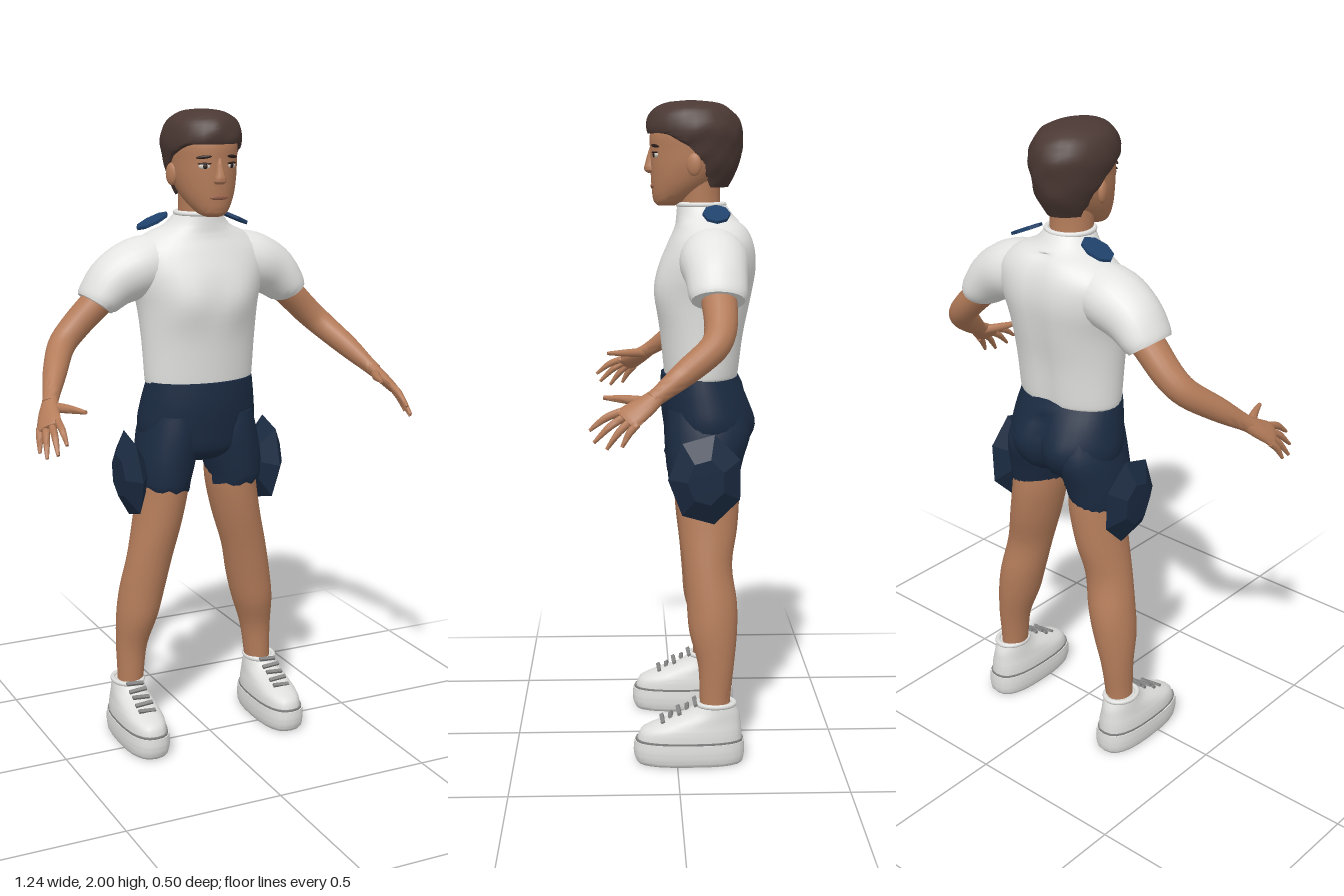
import * as THREE from 'three';
import { toCreasedNormals } from 'three/addons/utils/BufferGeometryUtils.js';

const mat = (name, color) => {
  const m = new THREE.MeshStandardMaterial({ color });
  m.name = name;
  return m;
};
const V = (x, y, z) => new THREE.Vector3(x, y, z);
const spow = (c, p) => Math.sign(c) * Math.pow(Math.abs(c), p);
const bell = (x, w) => Math.exp(-(x * x) / (w * w));

// Smooth interpolation of section rows
function sampleRows(rows, steps) {
  const out = [], n = rows.length;
  for (let i = 0; i <= (n - 1) * steps; i++) {
    const k = Math.min(Math.floor(i / steps), n - 2), t = i / steps - k;
    const [a, b, c, d] = [k - 1, k, k + 1, k + 2].map(j => rows[Math.max(0, Math.min(n - 1, j))]);
    out.push(b.map((_, q) => 0.5 * (2 * b[q] + (c[q] - a[q]) * t
      + (2 * a[q] - 5 * b[q] + 4 * c[q] - d[q]) * t * t
      + (3 * b[q] - a[q] - 3 * c[q] + d[q]) * t * t * t)));
  }
  return out;
}

// Loft of elliptical sections [x, y, z, radius along ref, other radius, exponent]
function loft(rows, { ref = V(1, 0, 0), along = false, seg = 24, steps = 4, warp } = {}) {
  const s = sampleRows(rows.map(r => [...r.slice(0, 5), r[5] ?? 1]), steps);
  const c = s.map(r => V(r[0], r[1], r[2])), pos = [], idx = [], L = s.length;
  s.forEach((r, k) => {
    const T = along ? c[Math.min(k + 1, L - 1)].clone().sub(c[Math.max(k - 1, 0)]).normalize() : V(0, 1, 0);
    const N = ref.clone().addScaledVector(T, -ref.dot(T)).normalize();
    const B = N.clone().cross(T);
    for (let i = 0; i < seg; i++) {
      const a = i / seg * Math.PI * 2;
      const v = c[k].clone().addScaledVector(N, r[3] * spow(Math.cos(a), r[5]))
        .addScaledVector(B, r[4] * spow(Math.sin(a), r[5]));
      if (warp) warp(v);
      pos.push(v.x, v.y, v.z);
    }
  });
  for (let k = 0; k < L - 1; k++) for (let i = 0; i < seg; i++) {
    const a = k * seg + i, b = k * seg + (i + 1) % seg;
    idx.push(a, a + seg, b, b, a + seg, b + seg);
  }
  [c[0], c[L - 1]].forEach((p, e) => {
    const v = p.clone();
    if (warp) warp(v);
    pos.push(v.x, v.y, v.z);
    const base = e ? (L - 1) * seg : 0;
    for (let i = 0; i < seg; i++) {
      const a = base + i, b = base + (i + 1) % seg;
      idx.push(L * seg + e, e ? b : a, e ? a : b);
    }
  });
  const g = new THREE.BufferGeometry();
  g.setAttribute('position', new THREE.Float32BufferAttribute(pos, 3));
  g.setIndex(idx);
  return toCreasedNormals(g, 1.0);
}

// Upright body from rows [y, half width, front z, back z, exponent]
const body = (rows, opt = {}, x = 0) =>
  loft(rows.map(([y, rx, f, b, p = 1]) => [x, y, (f + b) / 2, rx, (f - b) / 2, p]), opt);

export function createModel() {
  const skin = mat('skin', 0xb47c5a), shirt = mat('shirt white', 0xe4e4e2), navy = mat('navy cloth', 0x1b2b42);
  const blue = mat('shoulder blue', 0x1f416b), hair = mat('hair brown', 0x4a3833), shoe = mat('shoe white', 0xdededc);
  const grey = mat('lace grey', 0x858585), dark = mat('dark brown', 0x2a1d19);
  const white = mat('eye white', 0xd6cec6), lip = mat('lip', 0x96604a);
  const model = new THREE.Group();
  const add = (name, geo, material) => {
    const m = new THREE.Mesh(geo, material);
    m.name = name;
    model.add(m);
    return m;
  };
  const blob = (name, material, p, r, ry = 0) => {
    const m = add(name, new THREE.SphereGeometry(1, 16, 10), material);
    m.position.set(...p);
    m.scale.set(...r);
    m.rotation.y = ry;
    return m;
  };

  // Shirt body with chest and a groove down the spine
  add('shirt', body([
    [1.165, 0.174, 0.03, -0.195], [1.185, 0.178, 0.033, -0.2], [1.3, 0.185, 0.045, -0.215],
    [1.41, 0.197, 0.058, -0.238], [1.5, 0.222, 0.048, -0.252], [1.57, 0.22, 0.022, -0.245],
    [1.62, 0.165, 0, -0.222], [1.65, 0.105, -0.005, -0.185], [1.69, 0.07, -0.008, -0.155],
  ], {
    seg: 36,
    warp: v => {
      if (v.z < -0.12 && v.y < 1.64) v.z += 0.014 * bell(v.x, 0.035);
      if (v.z > 0) v.z += 0.014 * bell(Math.abs(v.x) - 0.085, 0.06) * bell(v.y - 1.43, 0.07);
    },
  }), shirt);
  add('collar', new THREE.TorusGeometry(0.07, 0.008, 8, 28).rotateX(Math.PI / 2), shirt).position.set(0, 1.688, -0.081);

  // Shorts seat
  add('shorts', body([
    [0.915, 0.09, -0.03, -0.15], [0.95, 0.165, 0.02, -0.215], [1.02, 0.194, 0.035, -0.242],
    [1.1, 0.187, 0.044, -0.228], [1.175, 0.174, 0.042, -0.193],
  ], {
    seg: 36,
    warp: v => {
      if (v.z < -0.12 && v.y < 1.14) v.z += 0.022 * bell(v.x, 0.025) - 0.014 * bell(Math.abs(v.x) - 0.085, 0.05) * bell(v.y - 1.02, 0.06);
    },
  }), navy);

  // Neck, head and nose
  add('neck', loft([[0, 1.62, -0.085, 0.066, 0.066], [0, 1.7, -0.075, 0.064, 0.064], [0, 1.79, -0.07, 0.066, 0.07]]), skin);
  add('head', body([
    [1.685, 0.026, 0.05, 0], [1.7, 0.05, 0.064, -0.04], [1.745, 0.079, 0.07, -0.11], [1.8, 0.096, 0.073, -0.165],
    [1.85, 0.101, 0.074, -0.185], [1.9, 0.102, 0.074, -0.185], [1.95, 0.085, 0.05, -0.15], [1.98, 0.03, 0, -0.1],
  ], { seg: 28 }), skin);
  add('nose', body([
    [1.783, 0.014, 0.08, 0.05], [1.793, 0.02, 0.092, 0.05], [1.82, 0.013, 0.087, 0.05], [1.86, 0.009, 0.075, 0.05],
  ], { seg: 12 }), skin);
  blob('mouth', lip, [0, 1.744, 0.067], [0.03, 0.008, 0.006]);

  // Hair: lower edge high over the face, low at the nape
  const hairline = z => z > 0.03 ? 1.9 : z > -0.06 ? 1.85 + (z + 0.06) / 0.09 * 0.05
    : Math.max(1.74, 1.85 + (z + 0.06) * 2.4);
  add('hair', body([
    [1.74, 0.07, 0.03, -0.16], [1.8, 0.094, 0.05, -0.194], [1.86, 0.112, 0.074, -0.206], [1.92, 0.118, 0.086, -0.205],
    [1.965, 0.1, 0.07, -0.178], [1.99, 0.062, 0.03, -0.135], [1.998, 0.015, -0.03, -0.07],
  ], {
    seg: 28,
    warp: v => {
      v.y = Math.max(v.y, hairline(v.z));
      const k = 1 + 0.025 * Math.sin(v.y * 70 + v.z * 45) * Math.sin(v.x * 60 + v.z * 30);
      v.x *= k;
      v.z = -0.06 + (v.z + 0.06) * k;
    },
  }), hair);

  for (const s of [1, -1]) {
    const side = s > 0 ? 'left' : 'right';
    const flip = rows => rows.map(([x, ...r]) => [x * s, ...r]);
    const limb = (name, material, rows, ref = V(0, 0, 1), seg = 18) =>
      add(side + name, loft(flip(rows), { along: true, ref: V(ref.x * s, ref.y, ref.z), seg }), material);

    // Face details
    blob(side + 'Eye', white, [0.043 * s, 1.836, 0.059], [0.019, 0.008, 0.005], 0.4 * s);
    blob(side + 'Iris', dark, [0.043 * s, 1.836, 0.0625], [0.0075, 0.0075, 0.004], 0.4 * s);
    blob(side + 'Eyelid', dark, [0.044 * s, 1.844, 0.061], [0.021, 0.003, 0.004], 0.4 * s);
    blob(side + 'Eyebrow', dark, [0.046 * s, 1.863, 0.06], [0.024, 0.005, 0.005], 0.45 * s).rotation.z = -0.1 * s;
    blob(side + 'Ear', skin, [0.1 * s, 1.808, -0.055], [0.012, 0.034, 0.023], -0.3 * s);

    // Sleeve and arm
    limb('Sleeve', shirt, [
      [0.1, 1.545, -0.11, 0.09, 0.085], [0.19, 1.525, -0.11, 0.102, 0.092], [0.265, 1.49, -0.113, 0.092, 0.083],
      [0.315, 1.443, -0.115, 0.086, 0.066], [0.331, 1.423, -0.115, 0.078, 0.055],
    ], undefined, 24);
    limb('Arm', skin, [
      [0.25, 1.49, -0.115, 0.055, 0.052], [0.33, 1.42, -0.118, 0.052, 0.047], [0.4, 1.352, -0.118, 0.047, 0.044],
      [0.45, 1.302, -0.095, 0.042, 0.041], [0.5, 1.24, -0.015, 0.037, 0.035], [0.535, 1.192, 0.05, 0.027, 0.025],
      [0.55, 1.172, 0.078, 0.024, 0.022],
    ]);

    // Hand
    const across = V(-0.6, 0.43, 0.67);
    limb('Palm', skin, [
      [0.54, 1.185, 0.06, 0.024, 0.021], [0.56, 1.157, 0.098, 0.034, 0.019],
      [0.577, 1.128, 0.143, 0.043, 0.015], [0.582, 1.12, 0.155, 0.036, 0.011],
    ], across, 14);
    [[0.562, 1.09, 0.252], [0.585, 1.06, 0.24], [0.606, 1.045, 0.205], [0.613, 1.052, 0.163]].forEach((tip, i) => {
      const o = 0.033 - i * 0.022;
      const a = [0.577 - 0.6 * o, 1.127 + 0.43 * o, 0.143 + 0.67 * o];
      const m = a.map((q, j) => (q + tip[j]) / 2 + (j === 1 ? 0.008 : 0));
      limb('Finger' + (i + 1), skin, [[...a, 0.0115, 0.0115], [...m, 0.0105, 0.0105], [...tip, 0.005, 0.005]], across, 8);
    });
    limb('Thumb', skin, [
      [0.548, 1.165, 0.085, 0.016, 0.016], [0.515, 1.168, 0.145, 0.013, 0.013], [0.489, 1.17, 0.213, 0.006, 0.006],
    ], V(0, 1, 0), 8);

    // Shoulder patch
    const patch = add(side + 'ShoulderPatch',
      toCreasedNormals(new THREE.CylinderGeometry(1, 1, 0.009, 8).scale(0.055, 1, 0.041), 0.1), blue);
    patch.position.set(0.137 * s, 1.663, -0.12);
    patch.rotation.z = -0.42 * s;

    // Shorts leg and bare leg
    add(side + 'ShortsLeg', loft(flip([
      [0.122, 0.83, -0.085, 0.08, 0.1], [0.122, 0.85, -0.085, 0.083, 0.106], [0.113, 0.92, -0.09, 0.093, 0.117],
      [0.1, 1.0, -0.1, 0.094, 0.13], [0.095, 1.07, -0.095, 0.08, 0.12],
    ]), { warp: v => { if (v.y < 0.845) v.y += 0.006 * Math.sin(v.x * 120) + Math.abs(v.x) * 0.08 - 0.008; } }), navy);
    add(side + 'Leg', loft(flip([
      [0.235, 0.14, -0.118, 0.04, 0.046], [0.23, 0.2, -0.117, 0.042, 0.047], [0.224, 0.3, -0.12, 0.05, 0.055],
      [0.207, 0.4, -0.112, 0.066, 0.073], [0.19, 0.49, -0.108, 0.072, 0.077], [0.167, 0.6, -0.096, 0.073, 0.075],
      [0.14, 0.71, -0.098, 0.077, 0.09], [0.12, 0.82, -0.098, 0.08, 0.097], [0.115, 0.9, -0.095, 0.08, 0.095],
    ])), skin);

    // Faceted thigh pad
    const lens = [[0, -0.038], [0.5, -0.037], [1, 0], [0.5, 0.037], [0, 0.038]].map(p => new THREE.Vector2(...p));
    const pad = add(side + 'ThighPad', toCreasedNormals(
      new THREE.LatheGeometry(lens, 7).rotateZ(Math.PI / 2).scale(1, 0.142, 0.114), 0.1), navy);
    pad.position.set(0.236 * s, 0.88, -0.087);
    pad.rotation.z = -0.05 * s;

    // Shoe: sole, seam, upper, collar and laces
    const x = 0.24 * s;
    add(side + 'Sole', body([
      [0, 0.064, 0.118, -0.198, 0.75], [0.012, 0.07, 0.128, -0.205, 0.75], [0.04, 0.073, 0.133, -0.207, 0.75],
      [0.07, 0.071, 0.13, -0.205, 0.75],
    ], {}, x), shoe);
    add(side + 'SoleSeam', body([[0.068, 0.0685, 0.127, -0.203, 0.77], [0.076, 0.0685, 0.127, -0.203, 0.77]], { steps: 1 }, x), grey);
    add(side + 'ShoeUpper', body([
      [0.06, 0.067, 0.124, -0.2, 0.8], [0.1, 0.065, 0.112, -0.198, 0.8], [0.125, 0.06, 0.065, -0.195, 0.85],
      [0.155, 0.054, -0.02, -0.19], [0.185, 0.048, -0.06, -0.175],
    ], {}, x), shoe);
    const rim = add(side + 'ShoeCollar', new THREE.TorusGeometry(0.047, 0.008, 8, 24).rotateX(Math.PI / 2).scale(1, 1, 1.2), shoe);
    rim.position.set(x, 0.184, -0.118);
    for (let i = 0; i < 5; i++) {
      const t = i / 4;
      const lace = add(side + 'Lace' + (i + 1), new THREE.BoxGeometry(0.058, 0.008, 0.012), grey);
      lace.position.set(x, 0.134 + 0.054 * t, 0.045 - 0.1 * t);
      lace.rotation.set(0.5, 0, i % 2 ? 0.12 : -0.12);
    }
  }
  return model;
}
